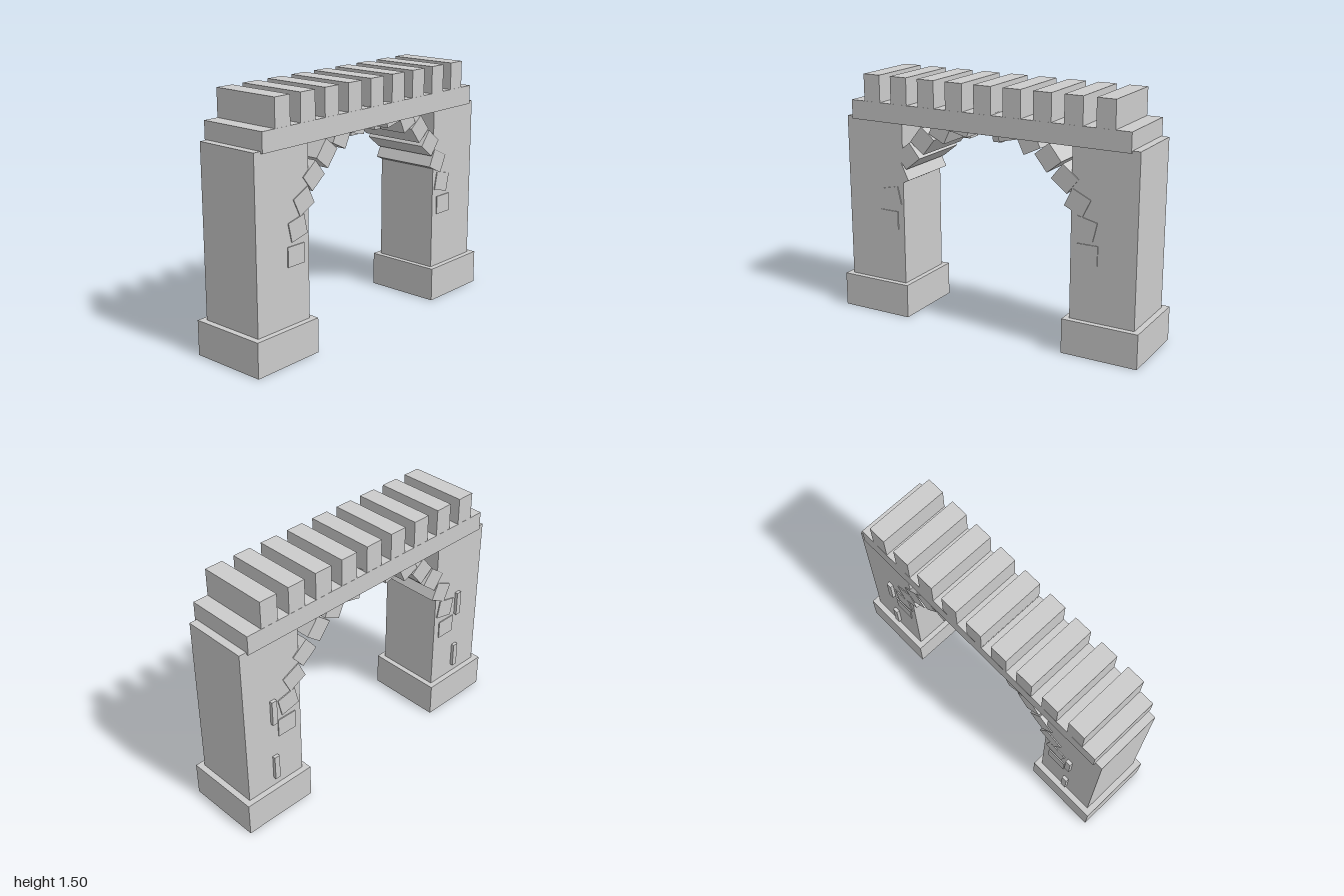
import * as THREE from 'three';

const material = new THREE.MeshStandardMaterial({ color: 0xcccccc, flatShading: true });

export function createModel() {
  const model = new THREE.Group();
  model.name = 'archGate';

  function box(name, w, h, d, x, y, z) {
    const mesh = new THREE.Mesh(new THREE.BoxGeometry(w, h, d), material);
    mesh.name = name;
    mesh.position.set(x, y, z);
    model.add(mesh);
    return mesh;
  }

  // Two pillars on plinths, with a pair of raised slits on one side
  for (const s of [-1, 1]) {
    box('plinth', 0.48, 0.21, 0.47, 0, 0.105, s * 0.765);
    box('pillar', 0.41, 1.02, 0.4, 0, 0.72, s * 0.763);
    for (const y of [0.348, 0.748]) box('slit', 0.04, 0.16, 0.035, -0.205, y, s * 0.763);
  }

  // Stones set along a half circle between the pillars, each tilted in turn
  const stones = 15, radius = 0.668;
  for (let i = 0; i < stones; i++) {
    const a = (i / (stones - 1)) * Math.PI;
    const stone = box('archStone', 0.422, 0.115, 0.125, 0, 0.61 + radius * Math.sin(a), radius * Math.cos(a));
    stone.rotation.x = a;
  }

  // Deck and battlements
  box('deck', 0.44, 0.117, 1.83, 0, 1.2765, 0);
  for (let i = -4; i <= 4; i++) box('merlon', 0.438, 0.165, 0.113, 0, 1.4175, i * 0.191);

  // Small tapered blocks under the deck
  for (let i = -1; i <= 1; i++) {
    const block = box('hangingBlock', 0.12, 0.12, 0.08, 0, 1.2, i * 0.215);
    const p = block.geometry.attributes.position;
    for (let v = 0; v < p.count; v++) {
      if (p.getY(v) < 0) p.setXYZ(v, p.getX(v) * 0.75, p.getY(v), p.getZ(v) * 0.7);
    }
    block.geometry.computeVertexNormals();
    block.rotation.x = i * 0.06;
  }

  return model;
}
